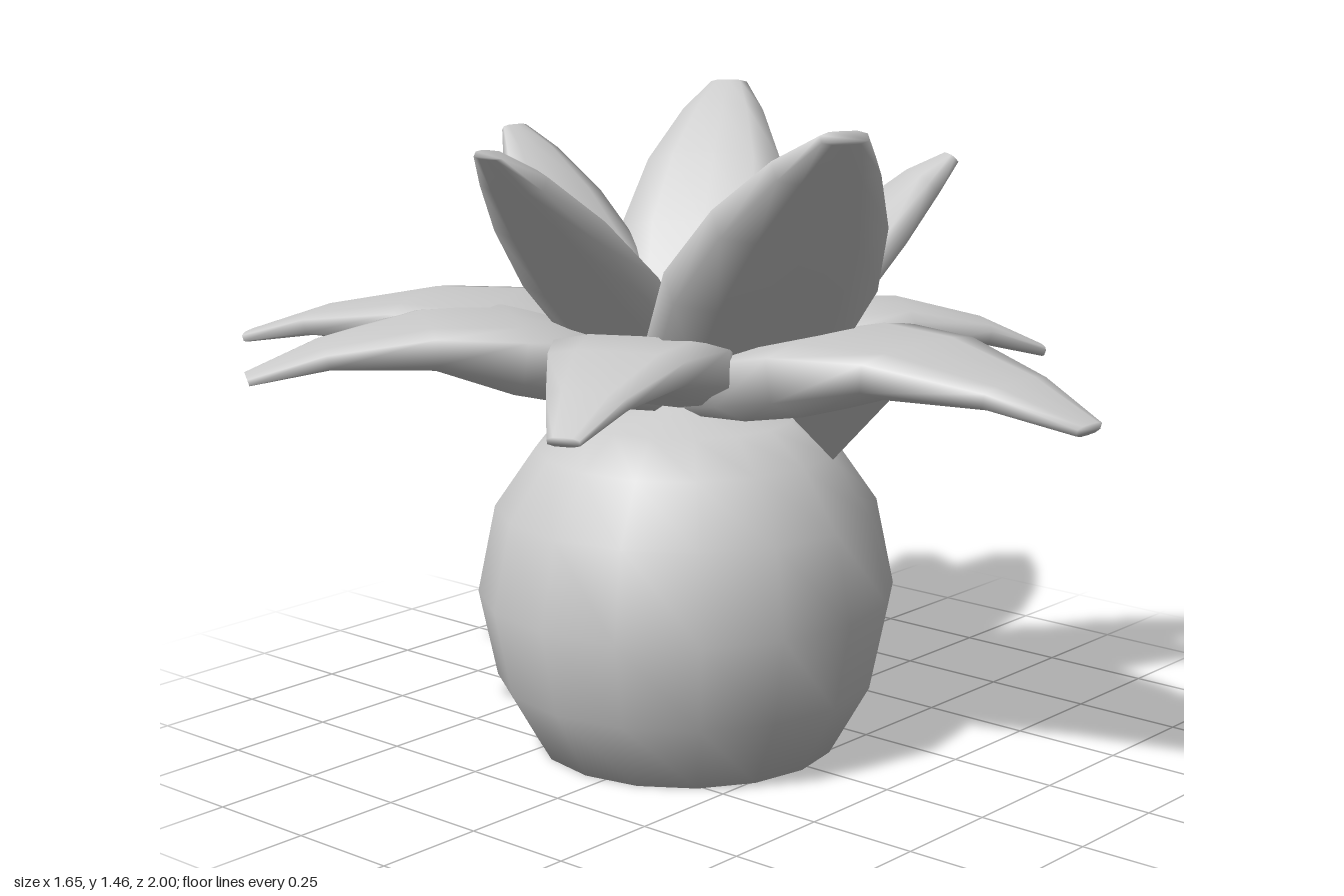
import * as THREE from 'three';

// Leaf cross-section, a softened slab: [across, through]; through > 0 is the upper side
const SECTION = [[-1, -0.6], [-1, 0.5], [-0.6, 0.95], [0, 1], [0.6, 0.95],
  [1, 0.5], [1, -0.6], [0.6, -0.95], [0, -1], [-0.6, -0.95]];

// Stations along a leaf: [radial fraction, height, half width, upper depth, lower depth]
// Drooping leaves use absolute heights; rising leaves use a fraction from base to tip.
const DROOP = [
  [0.06, 0.83, 0.1, 0.03, 0.07], [0.22, 0.91, 0.2, 0.035, 0.125], [0.41, 0.955, 0.24, 0.035, 0.125],
  [0.6, 0.965, 0.185, 0.025, 0.075], [0.83, 0.93, 0.105, 0.018, 0.035], [1, 0.878, 0.042, 0.01, 0.014],
];
const RISE = [
  [0.04, 0.02, 0.12, 0.04, 0.05], [0.22, 0.21, 0.19, 0.06, 0.065], [0.45, 0.46, 0.205, 0.07, 0.065],
  [0.68, 0.7, 0.165, 0.062, 0.05], [0.87, 0.89, 0.1, 0.04, 0.035], [1, 1, 0.045, 0.014, 0.014],
];

// Leaf pointing along +x: section loops joined in a skin, closed at both ends
function leafGeometry(stations) {
  const pos = [], idx = [], n = SECTION.length, rows = stations.length;
  stations.forEach(([x, y, w, upper, lower], i) => {
    const a = stations[Math.max(i - 1, 0)], b = stations[Math.min(i + 1, rows - 1)];
    const len = Math.hypot(b[0] - a[0], b[1] - a[1]);
    const nx = -(b[1] - a[1]) / len, ny = (b[0] - a[0]) / len;
    for (const [s, t] of SECTION) {
      const h = t * (t > 0 ? upper : lower);
      pos.push(x + nx * h, y + ny * h, s * w);
    }
  });
  for (let i = 0; i < rows - 1; i++) for (let j = 0; j < n; j++) {
    const a = i * n + j, b = i * n + (j + 1) % n, c = a + n, d = b + n;
    idx.push(a, b, c, b, d, c);
  }
  const last = (rows - 1) * n;
  for (let j = 1; j < n - 1; j++) idx.push(0, j + 1, j, last, last + j, last + j + 1);
  const g = new THREE.BufferGeometry();
  g.setAttribute('position', new THREE.Float32BufferAttribute(pos, 3));
  g.setIndex(idx);
  g.computeVertexNormals();
  return g;
}

export function createModel() {
  const group = new THREE.Group();
  const grey = new THREE.MeshStandardMaterial({ color: 0xcccccc });
  grey.name = 'plain grey';
  const add = (geometry, name) => {
    const mesh = new THREE.Mesh(geometry, grey);
    mesh.name = name;
    group.add(mesh);
    return mesh;
  };

  // round pot with a flat foot
  const profile = [[0, 0], [0.335, 0], [0.425, 0.16], [0.465, 0.355], [0.425, 0.55],
    [0.335, 0.68], [0.24, 0.75], [0, 0.785]].map(([r, y]) => new THREE.Vector2(r, y));
  add(new THREE.LatheGeometry(profile, 16), 'pot').position.set(-0.025, 0, -0.05);

  // leaf from its root to its tip, seen from above
  const addLeaf = (name, rootX, rootZ, tipX, tipZ, shape) => {
    const dx = tipX - rootX, dz = tipZ - rootZ;
    const leaf = add(leafGeometry(shape(Math.hypot(dx, dz))), name);
    leaf.position.set(rootX, 0, rootZ);
    leaf.rotation.y = Math.atan2(-dz, dx);
  };

  // outer ring of drooping leaves: tip x, tip z, width scale
  [[-0.48, -0.98, 1], [-0.8, -0.61, 0.95], [-0.78, 0.3, 0.8], [-0.025, 1, 1.02],
    [0.56, 0.49, 0.85], [0.8, -0.58, 1], [0.13, -0.77, 0.72]].forEach(([x, z, k]) =>
    addLeaf('outerLeaf', -0.02, -0.05, x, z, (reach) =>
      DROOP.map(([r, y, w, u, l]) => [r * reach, y, w * k, u, l * k])));

  // inner ring of rising leaves: root x, root z, tip x, y, z, width scale
  [[-0.02, 0.04, -0.35, 1.45, 0.64, 1.1], [-0.02, -0.12, -0.65, 1.39, -0.02, 0.78],
    [-0.05, -0.14, 0.055, 1.33, -0.65, 0.7], [0.03, -0.1, 0.53, 1.41, -0.4, 0.95],
    [0, 0.05, 0.41, 1.31, 0.34, 0.82]].forEach(([rx, rz, x, y, z, k]) =>
    addLeaf('innerLeaf', rx, rz, x, z, (reach) =>
      RISE.map(([r, f, w, u, l]) => [r * reach, 0.82 + f * (y - 0.82), w * k, u * k, l * k])));

  // small stub hanging under the front leaves
  const stub = add(new THREE.ConeGeometry(0.15, 0.16, 8), 'leafStub');
  stub.rotation.x = Math.PI;
  stub.position.set(0.08, 0.76, 0.28);

  return group;
}
